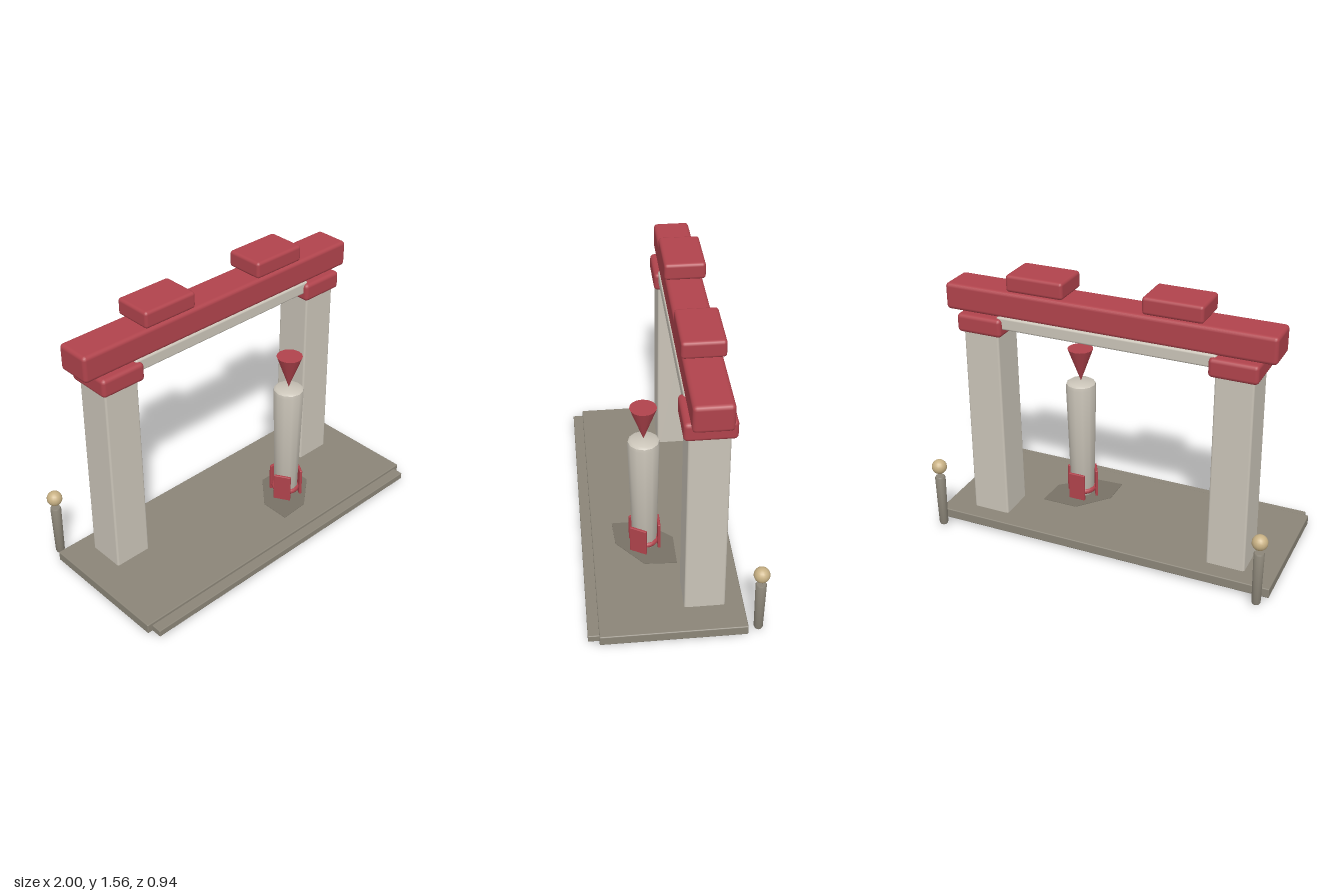
import * as THREE from 'three';
import { RoundedBoxGeometry } from 'three/addons/geometries/RoundedBoxGeometry.js';
import { toCreasedNormals } from 'three/addons/utils/BufferGeometryUtils.js';

const mat = (color, extra = {}) => new THREE.MeshStandardMaterial({ color, ...extra });

export function createModel() {
  const model = new THREE.Group();
  const red = mat(0xb0434c), stone = mat(0xcac4b8), slab = mat(0x8b8578);
  const brass = mat(0xc9b285), dark = mat(0x787266, { side: THREE.DoubleSide });

  const add = (name, geometry, material, x = 0, y = 0, z = 0, parent = model) => {
    const mesh = new THREE.Mesh(geometry, material);
    mesh.name = name;
    mesh.position.set(x, y, z);
    parent.add(mesh);
    return mesh;
  };
  // Bevelled box given by its extents on each axis
  const block = (name, [x0, x1], [y0, y1], [z0, z1], radius, material) =>
    add(name, new RoundedBoxGeometry(x1 - x0, y1 - y0, z1 - z0, 2, radius), material,
      (x0 + x1) / 2, (y0 + y1) / 2, (z0 + z1) / 2);
  const lathe = (points, sides) => toCreasedNormals(
    new THREE.LatheGeometry(points.map(p => new THREE.Vector2(...p)), sides), 0.7);

  // Ground slab and front step
  block('baseSlab', [-1, 1], [0.02, 0.077], [-0.37, 0.41], 0.006, slab);
  block('frontStep', [-0.97, 0.97], [0.02, 0.06], [0.38, 0.47], 0.005, slab);

  // Gate: pillars, capitals, top blocks and rear bollards on each side
  for (const s of [-1, 1]) {
    const side = s > 0 ? 'left' : 'right';
    const span = (a, b) => (s > 0 ? [a, b] : [-b, -a]);
    const pillar = block(side + 'Pillar', span(0.61, 0.83), [0.03, 1.21], [-0.27, -0.05], 0.012, stone);
    const pos = pillar.geometry.attributes.position;
    for (let i = 0; i < pos.count; i++) {
      const k = 0.975 - 0.04 * pos.getY(i);   // slight taper towards the top
      pos.setX(i, pos.getX(i) * k);
      pos.setZ(i, pos.getZ(i) * k);
    }
    block(side + 'Capital', span(0.585, 0.85), [1.197, 1.302], [-0.295, -0.03], 0.022, red);
    block(side + 'TopBlock', span(0.22, 0.55), [1.465, 1.56], [-0.275, -0.05], 0.018, red);

    add(side + 'Post', lathe([[0, 0.02], [0.021, 0.02], [0.025, 0.03], [0.03, 0.328], [0.026, 0.336], [0, 0.336]], 12),
      slab, s * 0.95, 0, -0.43);
    add(side + 'PostBall', new THREE.SphereGeometry(0.043, 16, 12), brass, s * 0.95, 0.398, -0.43);
  }
  block('lintel', [-0.93, 0.93], [1.305, 1.455], [-0.263, -0.06], 0.022, red);
  block('underBeam', [-0.62, 0.62], [1.24, 1.312], [-0.27, -0.055], 0.012, stone);

  // Rocket standing in front of the gate
  const rocket = new THREE.Group();
  rocket.name = 'rocket';
  rocket.position.set(0.31, 0, 0.115);
  model.add(rocket);

  add('body', lathe([[0, 0.09], [0.062, 0.09], [0.069, 0.105], [0.087, 0.79], [0.084, 0.81], [0.07, 0.82], [0, 0.82]], 12),
    stone, 0, 0, 0, rocket);
  const nose = add('noseCone', toCreasedNormals(new THREE.ConeGeometry(0.073, 0.2, 16), 0.7), red, 0, 0.925, 0, rocket);
  nose.rotation.x = Math.PI;
  const ring = add('tailRing', new THREE.TorusGeometry(0.067, 0.016, 8, 18), red, 0, 0.122, 0, rocket);
  ring.rotation.x = Math.PI / 2;
  for (const angle of [Math.PI / 3, Math.PI, -Math.PI / 3]) {
    const fin = add('fin', new RoundedBoxGeometry(0.1, 0.168, 0.016, 2, 0.004), red,
      0.079 * Math.sin(angle), 0.161, 0.079 * Math.cos(angle), rocket);
    fin.rotation.y = angle;
  }
  const nozzle = add('nozzle', new THREE.ConeGeometry(0.06, 0.1, 8), dark, 0, 0.05, 0, rocket);
  nozzle.rotation.x = Math.PI;

  // Irregular scorched patch under the rocket
  const patch = new THREE.Shape([[-0.18, -0.175], [-0.18, -0.005], [-0.03, 0.165], [0.18, 0.165], [0.17, -0.015], [-0.01, -0.165]]
    .map(p => new THREE.Vector2(...p)));
  const scorch = add('scorchPatch', new THREE.ExtrudeGeometry(patch, { depth: 0.006, bevelEnabled: false }),
    dark, 0, 0.074, 0, rocket);
  scorch.rotation.x = -Math.PI / 2;

  return model;
}
